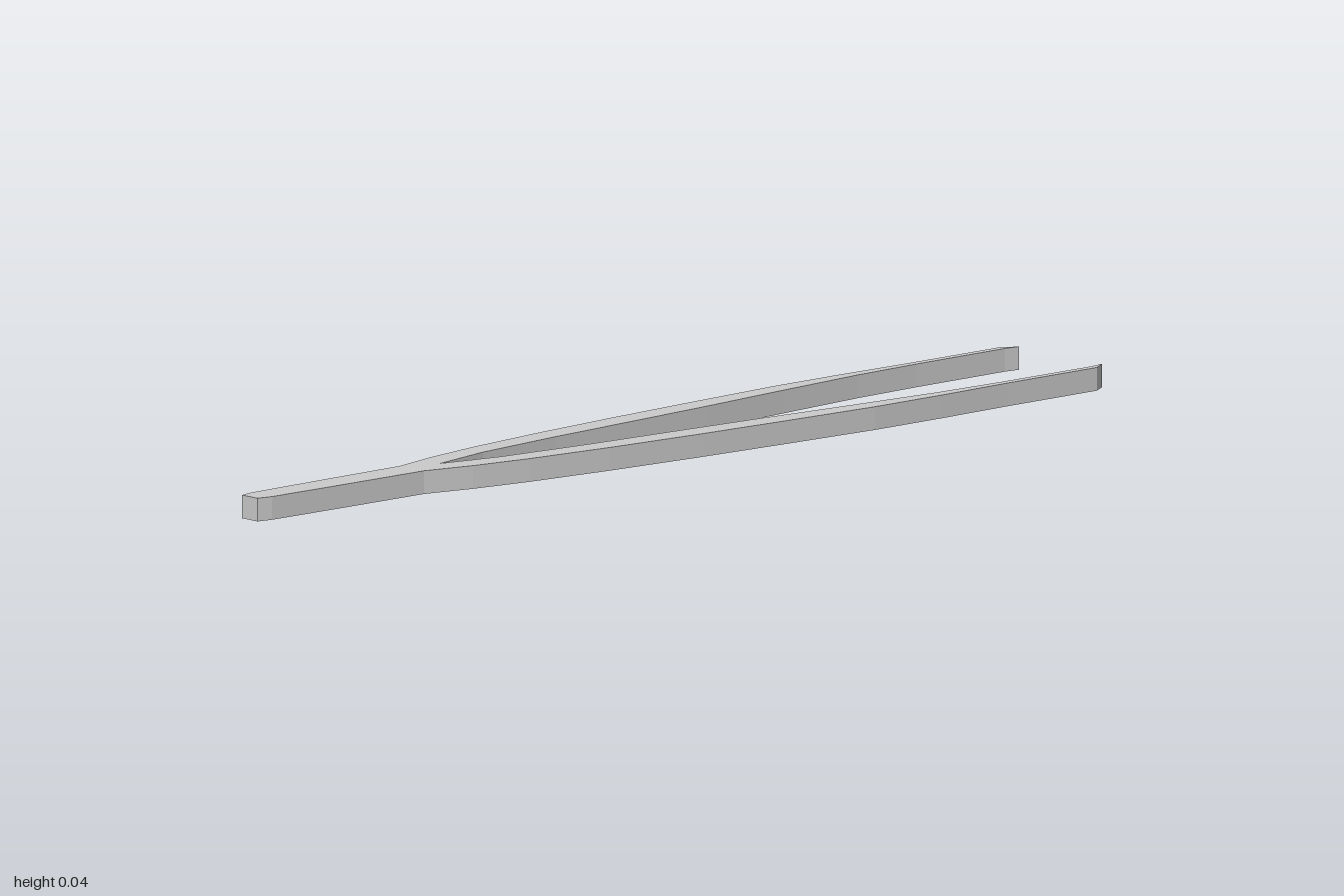
import * as THREE from 'three';

const HEIGHT = 0.043;

// Half outline as [x, distance from the centre plane]
const outer = [
  [-1, 0.021], [-0.97, 0.027], [-0.8, 0.03], [-0.6, 0.032], [-0.5, 0.056], [-0.38, 0.076],
  [-0.2, 0.096], [0, 0.112], [0.2, 0.124], [0.42, 0.135], [0.58, 0.135], [0.75, 0.131], [0.97, 0.131],
];
const inner = [
  [1, 0.112], [0.97, 0.116], [0.75, 0.115], [0.6, 0.11], [0.4, 0.094], [0.2, 0.076],
  [0, 0.061], [-0.2, 0.047], [-0.4, 0.027], [-0.53, 0],
];

// One half: grip end, bowed arm and pointed tip, extruded upwards
function makeHalf(side, name, material) {
  const points = [[-1, 0], ...outer, ...inner].map(([x, z]) => new THREE.Vector2(x, side * z));
  const geometry = new THREE.ExtrudeGeometry(new THREE.Shape(points), { depth: HEIGHT, bevelEnabled: false });
  geometry.rotateX(Math.PI / 2).translate(0, HEIGHT, 0);
  const mesh = new THREE.Mesh(geometry, material);
  mesh.name = name;
  return mesh;
}

export function createModel() {
  const group = new THREE.Group();
  group.name = 'tweezers';
  const material = new THREE.MeshStandardMaterial({ color: 0xcccccc });
  // The two halves meet along the centre plane of the grip
  group.add(makeHalf(1, 'frontArm', material), makeHalf(-1, 'backArm', material));
  return group;
}
